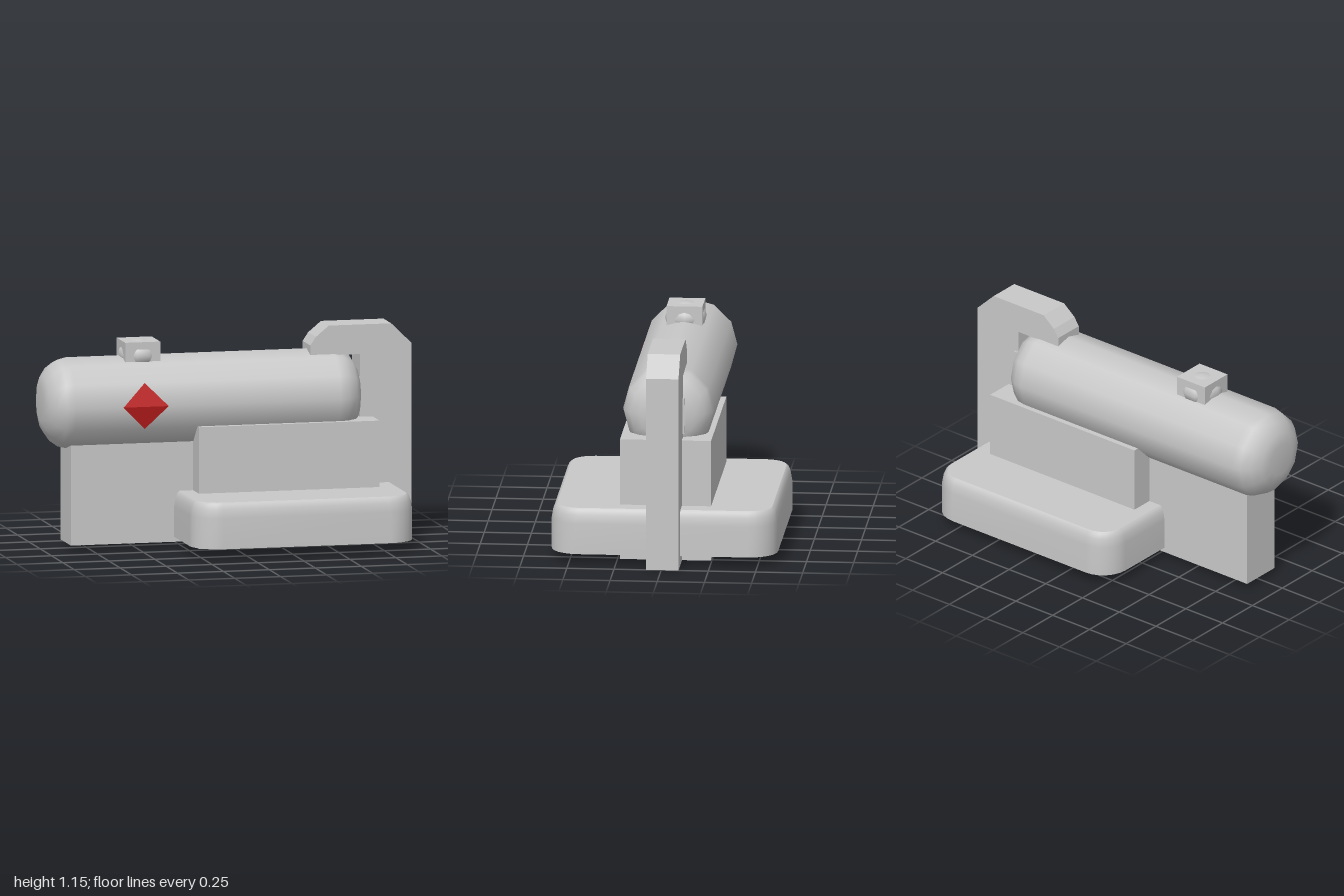
import * as THREE from 'three';

const grey = new THREE.MeshStandardMaterial({ color: 0xc8c8c8, side: THREE.DoubleSide });
grey.name = 'light grey';
const red = new THREE.MeshStandardMaterial({ color: 0xc01c1c, side: THREE.DoubleSide });
red.name = 'red';

const CZ = -0.007; // centre plane of tank, cradle and post
const TANK_Y = 0.775, TANK_R = 0.243;

function add(parent, name, geometry, material = grey) {
  const mesh = new THREE.Mesh(geometry, material);
  mesh.name = name;
  parent.add(mesh);
  return mesh;
}

// Box given by its limits; faces listed in skip are left open (0 +x, 1 -x, 2 +y, 3 -y, 4 +z, 5 -z)
function shellBox(x0, x1, y0, y1, z0, z1, skip = []) {
  const g = new THREE.BoxGeometry(x1 - x0, y1 - y0, z1 - z0);
  g.translate((x0 + x1) / 2, (y0 + y1) / 2, (z0 + z1) / 2);
  const index = Array.from(g.index.array).filter((_, i) => !skip.includes(Math.floor(i / 6)));
  g.setIndex(index);
  g.clearGroups();
  return g;
}

// Outline of the base plate, counter-clockwise seen from above
function roundedRing(cx, hx, hz, r) {
  const pts = [], n = 6;
  [[1, 1], [-1, 1], [-1, -1], [1, -1]].forEach(([sx, sz], q) => {
    for (let i = 0; i <= n; i++) {
      const a = (q + i / n) * Math.PI / 2;
      pts.push([cx + sx * (hx - r) + r * Math.cos(a), sz * (hz - r) + r * Math.sin(a)]);
    }
  });
  return pts;
}

// Base: open-bottomed tray with softened upper rim
function makeBase() {
  const group = new THREE.Group();
  group.name = 'base';
  const levels = [[0.055, 0], [0.22, 0], [0.265, 0.008], [0.29, 0.018], [0.3, 0.03]];
  const pos = [], idx = [];
  let n = 0;
  for (const [y, inset] of levels) {
    const ring = roundedRing(0.305, 0.603 - inset, 0.6 - inset, 0.15 - inset);
    n = ring.length;
    ring.forEach(([x, z]) => pos.push(x, y, z));
  }
  for (let l = 0; l < levels.length - 1; l++) {
    for (let i = 0; i < n; i++) {
      const a = l * n + i, b = l * n + (i + 1) % n;
      idx.push(a, a + n, b, b, a + n, b + n);
    }
  }
  const wall = new THREE.BufferGeometry();
  wall.setAttribute('position', new THREE.Float32BufferAttribute(pos, 3));
  wall.setIndex(idx);
  wall.computeVertexNormals();
  add(group, 'baseWall', wall);

  const outline = roundedRing(0.305, 0.573, 0.57, 0.12).map(([x, z]) => new THREE.Vector2(x, -z));
  const top = new THREE.ShapeGeometry(new THREE.Shape(outline));
  top.rotateX(-Math.PI / 2).translate(0, 0.3, 0);
  add(group, 'baseTop', top);
  return group;
}

// Fitting: square block with a bulging rounded core
function makeFitting(name) {
  const group = new THREE.Group();
  group.name = name;
  add(group, 'fittingBlock', new THREE.BoxGeometry(0.19, 0.15, 0.19));
  const core = new THREE.SphereGeometry(0.113, 10, 8);
  core.scale(1, 0.72, 1);
  add(group, 'fittingCore', core);
  return group;
}

export function createModel() {
  const model = new THREE.Group();
  model.name = 'tankOnStand';

  model.add(makeBase());

  // Cradle and narrow support, both hollow from below
  add(model, 'cradle', shellBox(-0.195, 0.788, 0.004, 0.655, -0.247, 0.236, [3]));
  add(model, 'endSupport', shellBox(-0.86, 0.7, 0.028, 0.562, CZ - 0.115, CZ + 0.115, [2, 3]));

  // Tank lying along x
  const profile = [
    [0, -1], [0.09, -1], [0.15, -0.985], [0.2, -0.95], [0.232, -0.905], [TANK_R, -0.86],
    [TANK_R, 0.58], [0.234, 0.63], [0.2, 0.68], [0.15, 0.71], [0.08, 0.728], [0, 0.73],
  ].map(([r, y]) => new THREE.Vector2(r, y));
  const tank = add(model, 'tank', new THREE.LatheGeometry(profile, 12));
  tank.rotation.z = -Math.PI / 2;
  tank.position.set(0, TANK_Y, CZ);

  // Fittings on the tank top and end
  const topFitting = makeFitting('topFitting');
  topFitting.position.set(-0.463, 1.022, CZ - 0.003);
  model.add(topFitting);
  const endFitting = makeFitting('endFitting');
  endFitting.rotation.z = -Math.PI / 2;
  endFitting.position.set(0.67, TANK_Y, CZ);
  model.add(endFitting);

  // Post with a hook reaching over the tank
  const hook = new THREE.Shape([
    [0.72, 0], [1, 0], [1, 1.04], [0.89, 1.148], [0.55, 1.148],
    [0.48, 1.09], [0.45, 1.045], [0.45, 0.99], [0.72, 0.99],
  ].map(([x, y]) => new THREE.Vector2(x, y)));
  const post = new THREE.ExtrudeGeometry(hook, { depth: 0.172, bevelEnabled: false });
  add(model, 'post', post.translate(0, 0, -0.092));

  // Red diamond folded over the front of the tank
  const diamond = new THREE.BufferGeometry();
  const l = [-0.605, TANK_Y, 0.24], r = [-0.36, TANK_Y, 0.24];
  const t = [-0.483, 0.898, 0.208], b = [-0.483, 0.652, 0.208];
  diamond.setAttribute('position', new THREE.Float32BufferAttribute([l, r, t, l, b, r].flat(), 3));
  diamond.computeVertexNormals();
  add(model, 'warningDiamond', diamond, red);

  return model;
}
